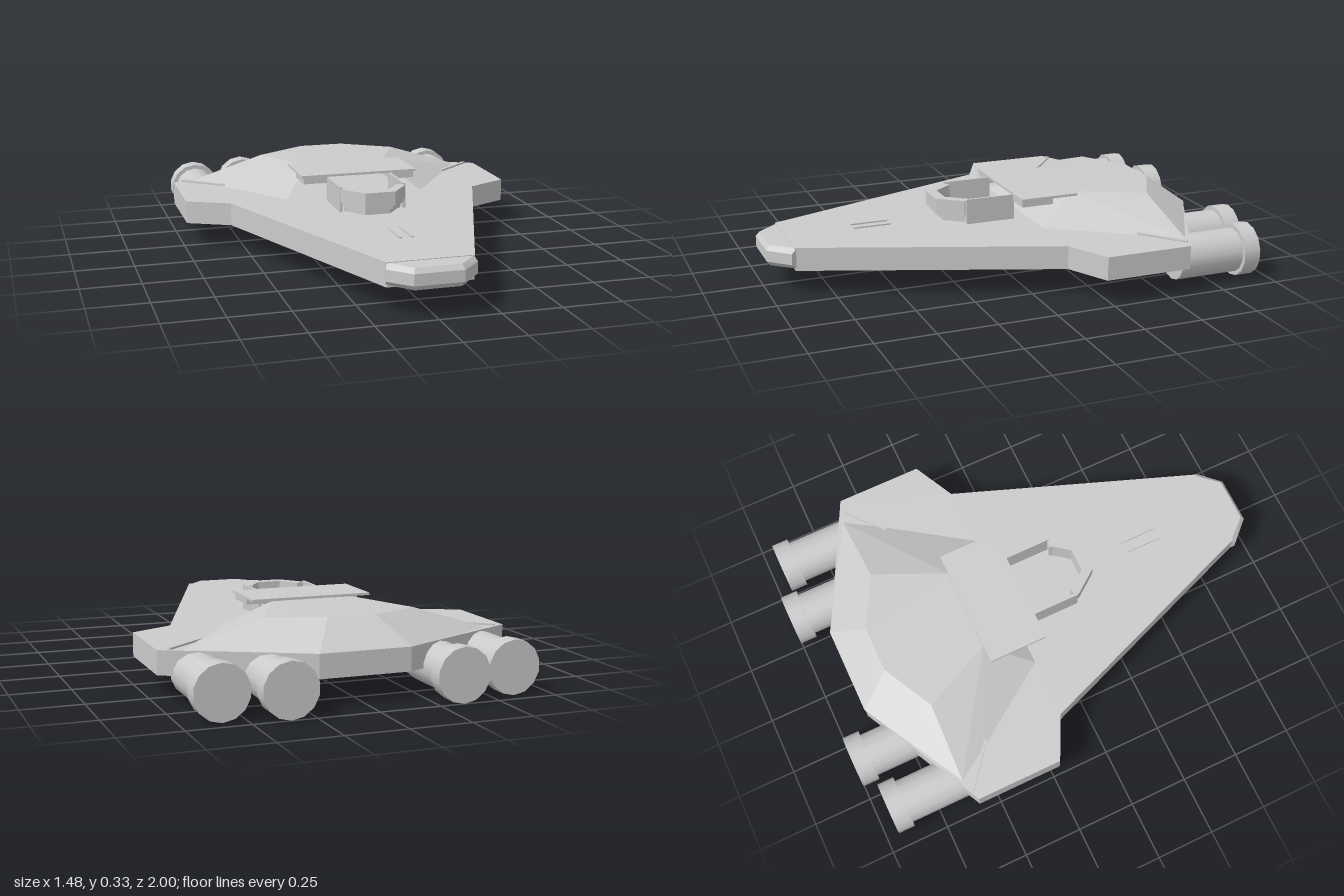
import * as THREE from 'three';
import { ConvexGeometry } from 'three/addons/geometries/ConvexGeometry.js';

const grey = new THREE.MeshStandardMaterial({ color: 0xcccccc, flatShading: true });
const smooth = new THREE.MeshStandardMaterial({ color: 0xcccccc });

export function createModel() {
  const model = new THREE.Group();

  const add = (name, geometry, material = grey) => {
    const mesh = new THREE.Mesh(geometry, material);
    mesh.name = name;
    model.add(mesh);
    return mesh;
  };
  const box = (name, x0, x1, y0, y1, z0, z1) =>
    add(name, new THREE.BoxGeometry(x1 - x0, y1 - y0, z1 - z0))
      .position.set((x0 + x1) / 2, (y0 + y1) / 2, (z0 + z1) / 2);
  // Extrudes a plan of [x, z] points between two heights
  const slab = (name, plan, y0, y1) => {
    const shape = new THREE.Shape(plan.map(([x, z]) => new THREE.Vector2(x, -z)));
    const geometry = new THREE.ExtrudeGeometry(shape, { depth: y1 - y0, bevelEnabled: false });
    geometry.rotateX(-Math.PI / 2).translate(0, y0, 0);
    return add(name, geometry);
  };
  // Completes a half plan with its mirror image
  const mirror = (half) => [...half, ...half.map(([x, z]) => [-x, z]).reverse()];
  // Convex solid from half of its corners
  const solid = (name, corners) =>
    add(name, new ConvexGeometry(corners.flatMap(([x, y, z]) =>
      [new THREE.Vector3(x, y, z), new THREE.Vector3(-x, y, z)])));

  // Flat wedge hull and its blunt nose
  slab('hull', mirror([[0.19, -0.865], [0.74, -0.59], [0.74, -0.22], [0.56, -0.13], [0.175, 0.9]]), 0.11, 0.208);
  const nose = [];
  for (const [y, inset] of [[0.118, 0.015], [0.138, 0], [0.185, 0], [0.205, 0.015]]) {
    nose.push([0.175, y, 0.89], [0.182 - inset, y, 0.915 - inset], [0.1 - inset / 2, y, 1 - inset]);
  }
  solid('nose', nose);

  // Faceted engine housing on the rear deck
  solid('rearHousing', [
    [0.1, 0.316, -0.725], [0.32, 0.31, -0.61], [0.18, 0.315, -0.31],
    [0.19, 0.208, -0.868], [0.64, 0.208, -0.62], [0.53, 0.208, -0.45],
    [0.31, 0.208, -0.13], [0.25, 0.208, -0.13],
  ]);

  // Roof plate with side beams
  box('roofPlate', -0.26, 0.26, 0.316, 0.326, -0.31, -0.055);

  // Open cockpit: overhanging prow rail on a recessed front wall
  const rail = (name, outer, inner, y0, y1) =>
    slab(name, [...mirror(outer), ...mirror(inner).reverse()], y0, y1);
  rail('cockpitRail', [[0.145, 0.14], [0.14, 0.16], [0.065, 0.26]],
    [[0.105, 0.135], [0.1, 0.15], [0.05, 0.215]], 0.25, 0.31);
  rail('cockpitRailLip', [[0.14, 0.14], [0.13, 0.155], [0.06, 0.245]],
    [[0.105, 0.135], [0.1, 0.15], [0.05, 0.215]], 0.232, 0.25);
  rail('cockpitFrontWall', [[0.125, 0.14], [0.11, 0.15], [0.055, 0.225]],
    [[0.105, 0.135], [0.1, 0.15], [0.05, 0.215]], 0.205, 0.232);

  for (const s of [-1, 1]) {
    const pair = (name, x0, x1, ...rest) => box(name, Math.min(s * x0, s * x1), Math.max(s * x0, s * x1), ...rest);
    pair('roofBeam', 0.14, 0.25, 0.288, 0.317, -0.2, -0.06);
    pair('cockpitSideWall', 0.135, 0.146, 0.205, 0.316, -0.065, 0.15);
    pair('deckStrip', 0.02, 0.03, 0.205, 0.214, 0.45, 0.61);
    pair('bellyPad', 0.06, 0.12, 0.104, 0.112, 0.46, 0.52);
    pair('bellyPad', 0.1, 0.17, 0.104, 0.112, 0.58, 0.63);
    pair('bellyHatch', 0.08, 0.14, 0.105, 0.112, 0.0, 0.08);

    // Raised rib beside the housing
    const rib = [[0.69, -0.605], [0.7, -0.595], [0.53, -0.455], [0.52, -0.465]];
    slab('deckRib', rib.map(([x, z]) => [s * x, z]), 0.205, 0.216);

    // Two thrusters per side, each with a wider end collar
    for (const [x, front, back] of [[0.595, -0.59, -0.945], [0.35, -0.65, -1]]) {
      const cylinder = (name, r, z0, z1) => {
        const geometry = new THREE.CylinderGeometry(r, r, z0 - z1, 14);
        geometry.rotateX(Math.PI / 2);
        add(name, geometry, smooth).position.set(s * x, 0.111, (z0 + z1) / 2);
      };
      cylinder('thruster', 0.093, front, back + 0.07);
      cylinder('thrusterCollar', 0.111, back + 0.072, back);
    }
  }

  return model;
}
